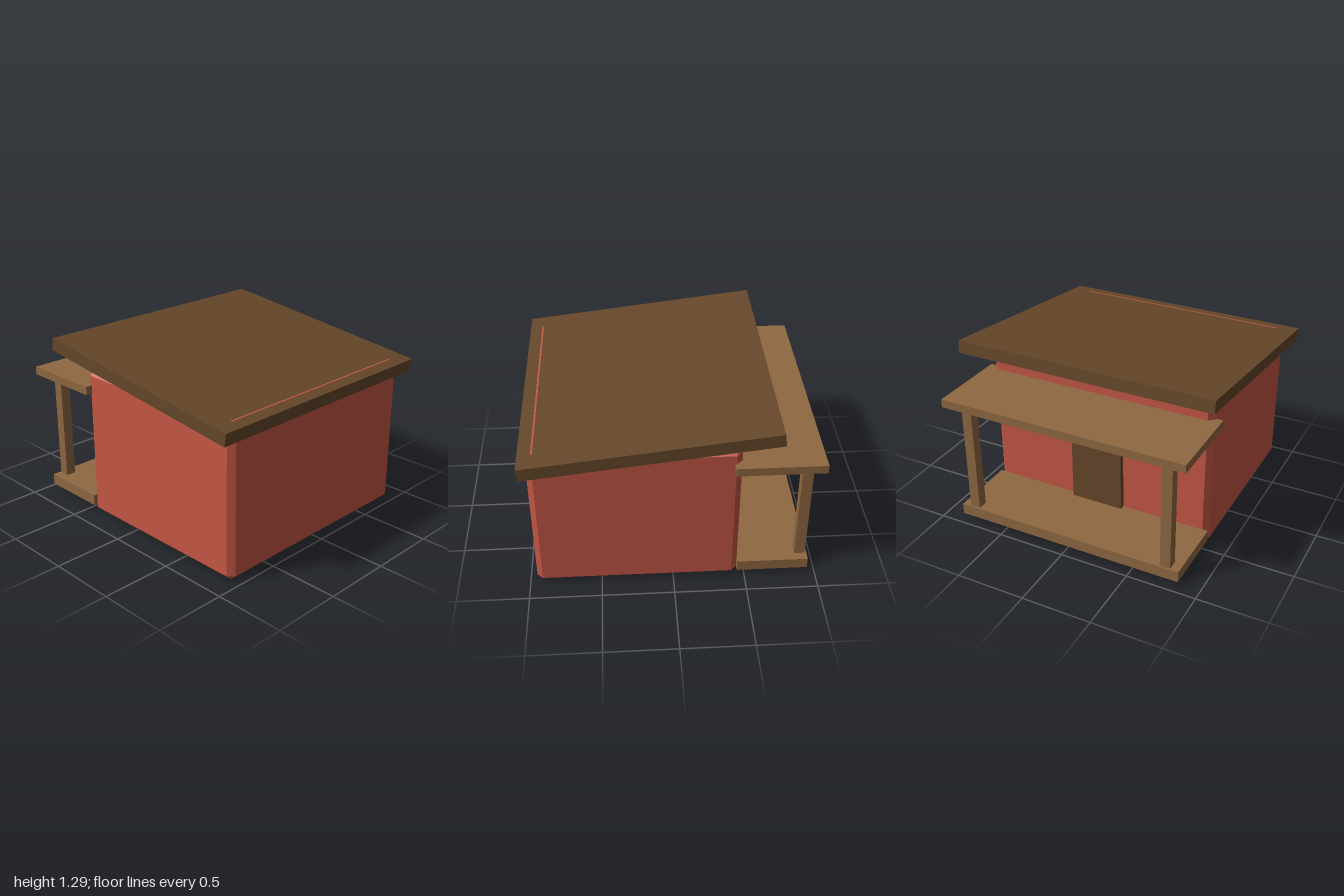
import * as THREE from 'three';
import { ConvexGeometry } from 'three/addons/geometries/ConvexGeometry.js';

function flatMaterial(name, color) {
  const m = new THREE.MeshStandardMaterial({ color });
  m.name = name;
  return m;
}

// Box with every edge cut by a flat chamfer c
function chamferedBox(w, h, d, c) {
  const points = [];
  for (const x of [-1, 1]) for (const y of [-1, 1]) for (const z of [-1, 1]) {
    for (let face = 0; face < 3; face++) {
      const inset = [c, c, c];
      inset[face] = 0;
      points.push(new THREE.Vector3(
        x * (w / 2 - inset[0]), y * (h / 2 - inset[1]), z * (d / 2 - inset[2])));
    }
  }
  return new ConvexGeometry(points);
}

export function createModel() {
  const group = new THREE.Group();
  group.name = 'cabin';

  const red = flatMaterial('red wall', 0xc65746);
  const darkWood = flatMaterial('dark wood', 0x65472a);
  const wood = flatMaterial('light wood', 0x8f6841);

  function add(name, geometry, material, x, y, z) {
    const mesh = new THREE.Mesh(geometry, material);
    mesh.name = name;
    mesh.position.set(x, y, z);
    group.add(mesh);
    return mesh;
  }
  const box = (w, h, d) => new THREE.BoxGeometry(w, h, d);

  // House body
  add('walls', chamferedBox(1.7, 1.1, 1.4, 0.04), red, 0, 0.55, 0.252);

  // Slab roof, sloping down to the front; the wall's top edge just breaks through it
  const roof = add('roof', box(1.9, 0.09, 1.7), darkWood, 0, 1.145, 0.152);
  roof.rotation.x = 0.12;

  // Door at the back, opening onto the porch
  add('door', box(0.39, 0.6, 0.06), darkWood, 0, 0.411, -0.457);

  // Porch
  add('porchDeck', box(1.7, 0.08, 0.5), wood, 0, 0.08, -0.697);
  add('porchRoof', box(1.8, 0.06, 0.6), wood, 0, 0.963, -0.698);
  for (const side of [-1, 1]) {
    add(side < 0 ? 'rightPost' : 'leftPost', box(0.075, 0.82, 0.075), wood,
      side * 0.75, 0.527, -0.897);
  }
  return group;
}
